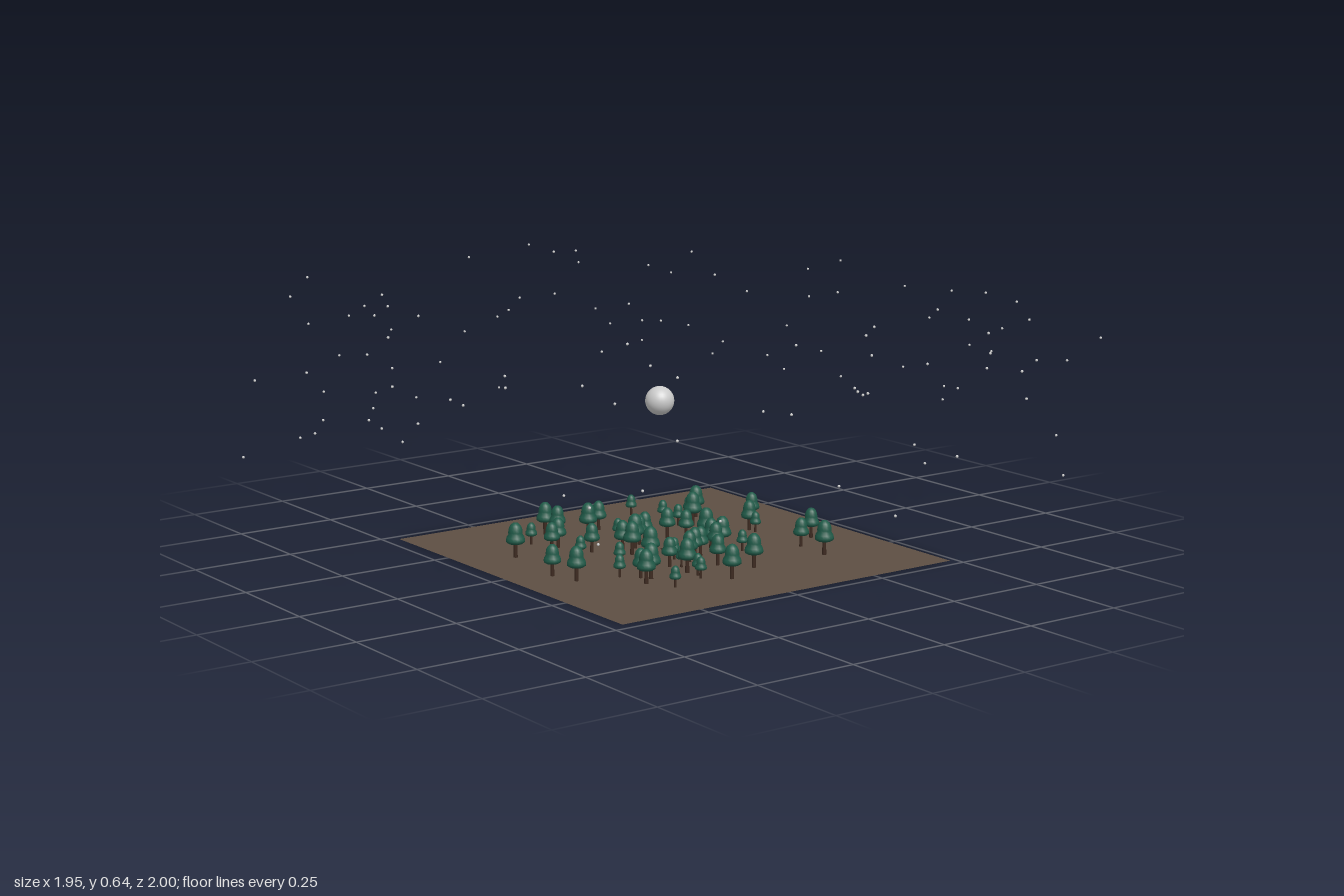
import * as THREE from 'three';

// Plan positions as x, z pairs in hundredths of a unit, grouped by tree size
const LARGE_TREES = [
  -14.6, -31, -33, -16, -3.4, 30, 26, -23.8, 28, 25, 7, 24.8, -7, -23.5, 20, -17, -9, 5.5,
  13, -2, 11.5, 6.5, -33.5, 10.5, -9, -2, -5, -6.5, -8.5, 19.5, -18.5, 19, -22, 22,
];
const MEDIUM_TREES = [
  -1.5, -27, 8, 8.5, -35.5, 3.5, -2, -9, 28.5, 15.5, 1.5, 18, 36, 10, 35, -12.5, 11, -7.5,
  -13, -28, -19.5, -18, -23, -15.5, -9, -6, 7.5, -10.5, 1.5, -11.5, 28.5, -5, -15.5, -9.5,
  -20, 17, -8.5, 12.5, -2, 11.5, 1, 9.5, 3.5, 8.5, 10, 4,
];
const SMALL_TREES = [
  -23, -24.5, 14, -35, 17, -25.5, 17, -19, -12, -35.5, -20.5, -7, -16.5, 3.5, -23.5, 13.5,
  -18.5, 28.5, 14.5, 10.5, -3, -16.5, -3.5, 7.5, 24.5, -24.8, -9, 25.5, -6.5, 14.5, 28.5, -2.5,
  -8, 23,
];
const STARS = [
  -17, -99.5, -46, -84, -1, -89, 0, -88, 30, -93, 53, -85, 55, -79, -57, -71, -28, -69, -22, -67,
  -8, -62, 0, -64, 18, -65, 36, -61, 52, -61, 30, -67, 75, -67, -71, -54, -93, -31, -97, -30,
  -79, -29, -79, -25, -53, -42, -55, -36, -66, -27, -65, -25, 65, -45, 73, -47, 80, -47, 70, -34,
  81, -34, 97.5, -9.5, 88, -1, 93, 11, 92, 21, 81, -9, -86, 8, -87, 20, -82, 22, -63, 27,
  -78, 34, -83, 37, -53, 42, -77, 49, -68, 57, -67, 65, -69, 71, -55, 67, -30, 85, -12, 88,
  3, 99.5, 27, 93, 43, 90, 73, 70, 76, 56, 52, 71, 53, 77, -1, 74, -1, 76, 21, 69,
  28, 57, -13, 65, -37, 70, 94, -24, 67, 37, 79, 30,
];

function seeded(seed) {
  return () => {
    seed = (seed * 16807) % 2147483647;
    return seed / 2147483647;
  };
}

const material = (color, side = THREE.FrontSide) =>
  new THREE.MeshStandardMaterial({ color, roughness: 0.9, side });

function part(name, geometry, mat, parent) {
  const mesh = new THREE.Mesh(geometry, mat);
  mesh.name = name;
  parent.add(mesh);
  return mesh;
}

function group(name, parent) {
  const g = new THREE.Group();
  g.name = name;
  parent.add(g);
  return g;
}

export function createModel() {
  const model = new THREE.Group();
  model.name = 'nightClearing';
  const rand = seeded(4217);

  // Ground sheet
  const ground = part('ground', new THREE.PlaneGeometry(0.947, 0.947),
    material(0x5d4f43, THREE.DoubleSide), model);
  ground.rotation.x = -Math.PI / 2;
  ground.position.set(0.011, 0.001, -0.003);

  // Trees: unit-high trunk and two-tier rounded crown, scaled for each tree
  const trunkGeo = new THREE.CylinderGeometry(0.05, 0.06, 0.5, 8).translate(0, 0.25, 0);
  const crownProfile = [
    [0, 0.4], [0.2, 0.4], [0.26, 0.44], [0.27, 0.5], [0.25, 0.58], [0.2, 0.66],
    [0.205, 0.72], [0.19, 0.82], [0.15, 0.91], [0.08, 0.98], [0, 1],
  ].map(([r, y]) => new THREE.Vector2(r, y));
  const crownGeo = new THREE.LatheGeometry(crownProfile, 16);
  const bark = material(0x3d2a20);
  const leaves = material(0x1f5a48);
  const forest = group('forest', model);
  [[LARGE_TREES, 0.084], [MEDIUM_TREES, 0.074], [SMALL_TREES, 0.053]].forEach(([spots, height]) => {
    for (let i = 0; i < spots.length; i += 2) {
      const tree = group('tree', forest);
      part('trunk', trunkGeo, bark, tree);
      part('crown', crownGeo, leaves, tree);
      tree.position.set(spots[i] / 100, 0.001, spots[i + 1] / 100);
      tree.scale.setScalar(height * (0.96 + rand() * 0.08));
    }
  });

  // Small campfire of radial sticks in the middle of the clearing
  const campfire = group('campfire', model);
  campfire.position.set(0.01, 0.003, -0.003);
  const stickGeo = new THREE.CylinderGeometry(0.0018, 0.0018, 0.02, 6)
    .rotateZ(Math.PI / 2).translate(0.013, 0, 0);
  for (let i = 0; i < 8; i++) {
    part('stick', stickGeo, bark, campfire).rotation.y = (i * Math.PI) / 4;
  }

  // Moon
  part('moon', new THREE.SphereGeometry(0.031, 32, 20), material(0xcccccc), model)
    .position.set(-0.431, 0.51, 0.566);

  // Stars: a wide ring of tiny points, filled in with extra scattered ones
  const starGeo = new THREE.IcosahedronGeometry(0.0032, 1);
  const starMat = material(0xcccccc);
  const sky = group('stars', model);
  const addStar = (x, z) =>
    part('star', starGeo, starMat, sky).position.set(x, 0.26 + rand() * 0.375, z);
  for (let i = 0; i < STARS.length; i += 2) addStar(STARS[i] / 100, STARS[i + 1] / 100);
  for (let i = 0; i < 55; i++) {
    const angle = rand() * Math.PI * 2;
    const radius = 0.58 + rand() * 0.38;
    addStar(Math.cos(angle) * radius, Math.sin(angle) * radius);
  }
  return model;
}
